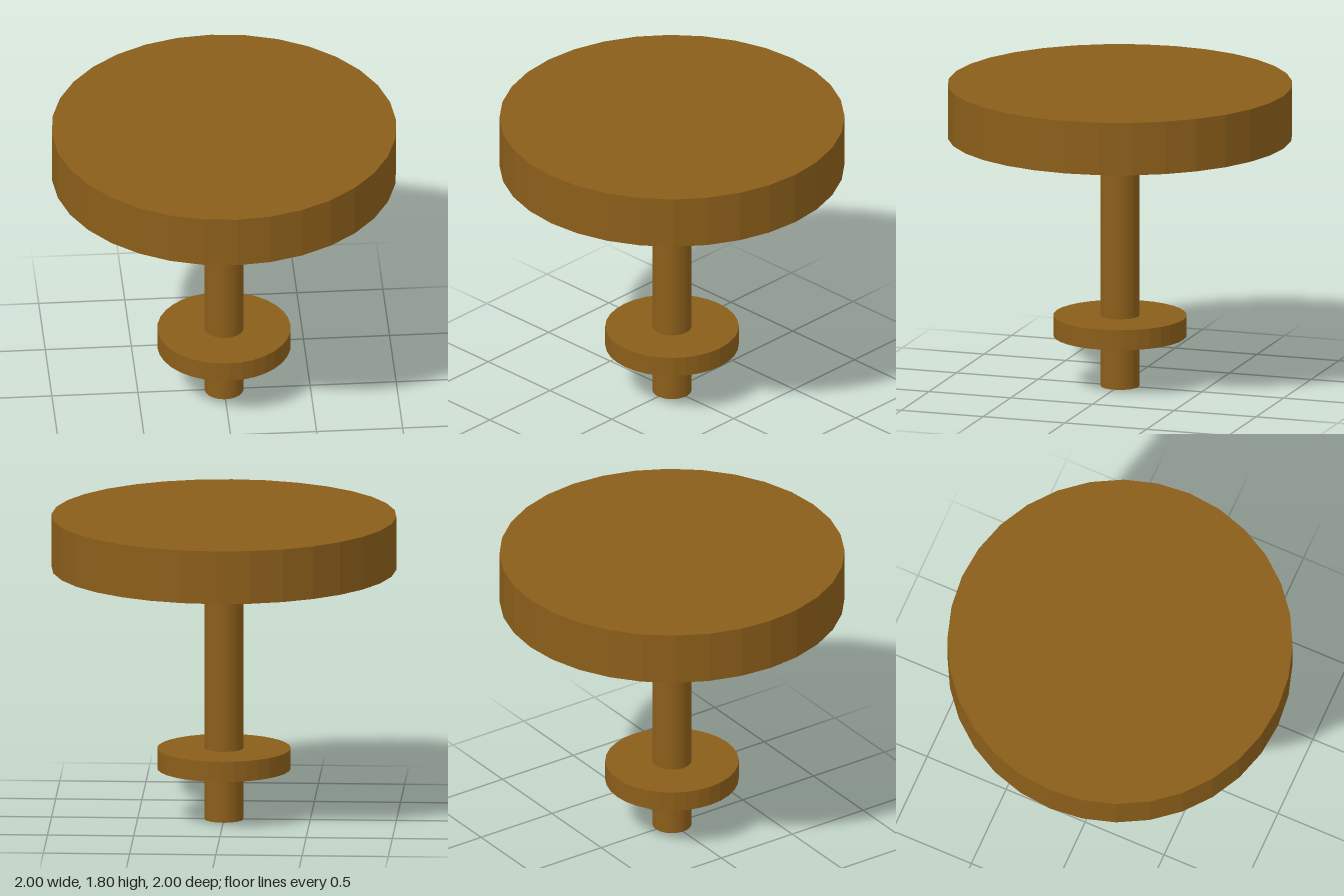
import * as THREE from 'three';

export function createModel() {
  const model = new THREE.Group();
  const wood = new THREE.MeshStandardMaterial({ color: 0x8b5e1a, flatShading: true });

  // Upright 32-sided disc or rod between two heights
  function addRound(name, radius, bottom, top) {
    const mesh = new THREE.Mesh(new THREE.CylinderGeometry(radius, radius, top - bottom, 32), wood);
    mesh.name = name;
    mesh.position.y = (bottom + top) / 2;
    model.add(mesh);
  }

  addRound('stem', 0.113, 0, 1.485);
  addRound('collar', 0.387, 0.3, 0.42);
  addRound('topDisc', 1, 1.485, 1.797);

  return model;
}
